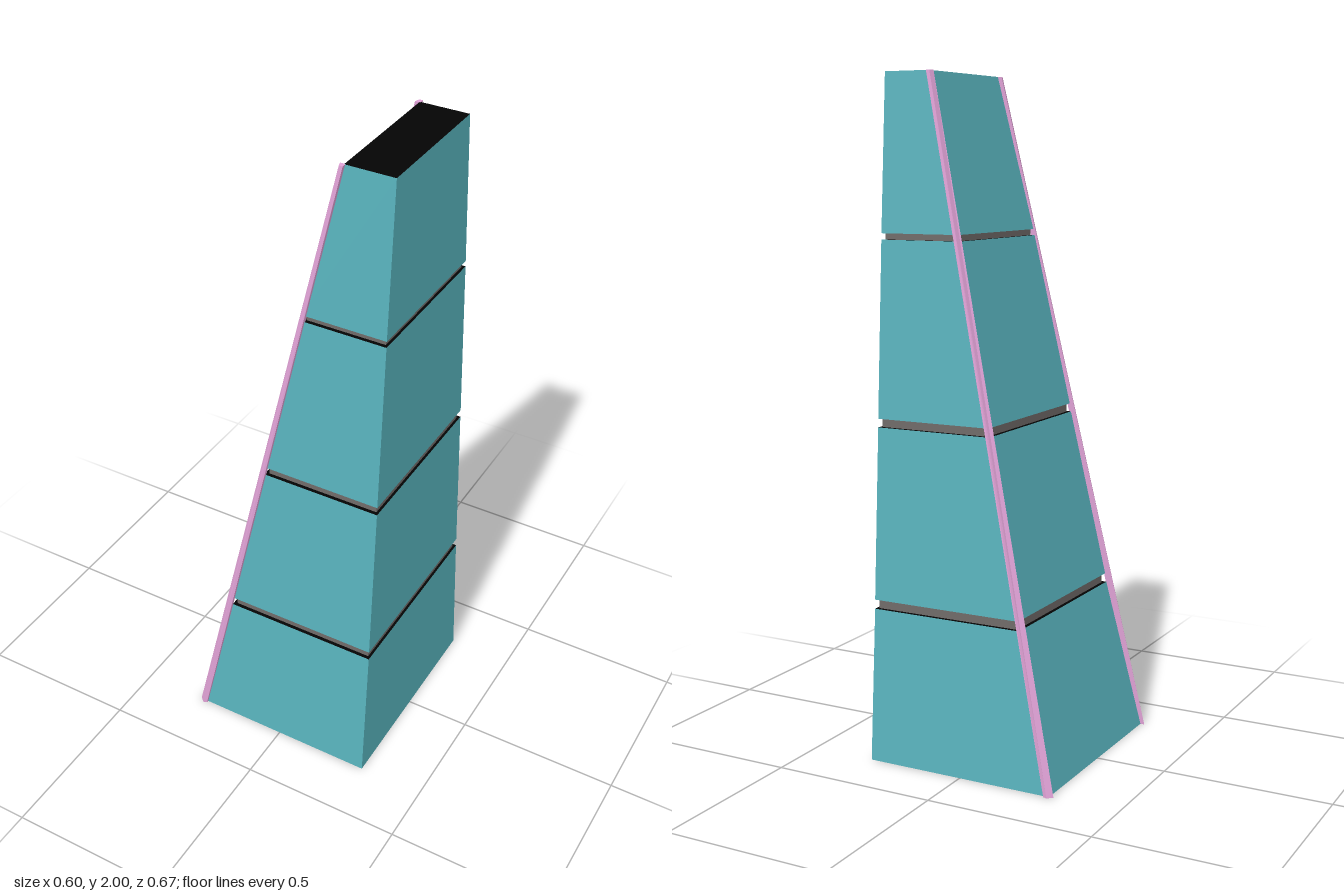
import * as THREE from 'three';

const mat = (name, color) => new THREE.MeshStandardMaterial({ name, color });
const shell = mat('teal', 0x58b2bc);
shell.side = THREE.DoubleSide;
const cap = mat('black', 0x040404);
cap.side = THREE.DoubleSide;
const band = mat('warm grey', 0x706b69);
const trim = mat('pink', 0xe2a3d8);

// Flat-faced loft between a lower and an upper polygon; sides and ends can be left out
function loft(low, high, y0, y1, { sides = true, bottom = true, top = true } = {}) {
  const pos = [];
  const a = low.map(([x, z]) => [x, y0, z]);
  const b = high.map(([x, z]) => [x, y1, z]);
  const tri = (...pts) => pts.forEach((p) => pos.push(...p));
  const n = a.length;
  if (sides) {
    for (let i = 0; i < n; i++) {
      const j = (i + 1) % n;
      tri(a[i], a[j], b[j]);
      tri(a[i], b[j], b[i]);
    }
  }
  for (let i = 1; i < n - 1; i++) {
    if (top) tri(b[0], b[i], b[i + 1]);
    if (bottom) tri(a[0], a[i + 1], a[i]);
  }
  const g = new THREE.BufferGeometry();
  g.setAttribute('position', new THREE.Float32BufferAttribute(pos, 3));
  g.computeVertexNormals();
  return g;
}

// Tower cross-section at t (0 base, 1 top), upright on the +x side
function section(t, inset = 0) {
  const x0 = -0.287 + 0.442 * t + inset;
  const x1 = 0.3 - inset * 0.7;
  const z = 0.324 - 0.122 * t - inset;
  return [[x0, z], [x1, z], [x1, -z], [x0, -z]];
}

export function createModel() {
  const model = new THREE.Group();
  const add = (name, geometry, material) => {
    const m = new THREE.Mesh(geometry, material);
    m.name = name;
    model.add(m);
  };

  // Four stacked tiers, the lowest open underneath
  const tiers = [[0, 0.455], [0.482, 0.99], [1.015, 1.529], [1.547, 2]];
  tiers.forEach(([y0, y1], i) => {
    const low = section(i === 0 ? 0 : i / 4 + 0.008);
    const high = section((i + 1) / 4);
    add('tierWalls' + (i + 1), loft(low, high, y0, y1, { top: false, bottom: false }), shell);
    add('tierCaps' + (i + 1), loft(low, high, y0, y1, { sides: false, bottom: i > 0 }), cap);
    // Recessed band in the gap above the tier
    if (i < 3) {
      const s = section((i + 1) / 4, 0.011);
      add('recessedBand' + (i + 1), loft(s, s, y1, tiers[i + 1][0], { top: false, bottom: false }), band);
    }
  });

  // Slim chamfered trim bars along the two sloping corners
  const profile = [[-0.013, 0.003], [0.014, 0.003], [0.014, -0.007], [0.002, -0.011]];
  const topProfile = [[-0.013, 0.003], [0.003, 0.003], [0.003, -0.012], [-0.008, -0.012]];
  for (const side of [-1, 1]) {
    const place = (pts, t) => {
      const [x, z] = section(t)[3];
      const out = pts.map(([dx, dz]) => [x + dx, -side * (z + dz)]);
      return side > 0 ? out.reverse() : out;
    };
    add(side > 0 ? 'frontCornerTrim' : 'backCornerTrim', loft(place(profile, 0), place(topProfile, 1), 0, 2), trim);
  }
  return model;
}
